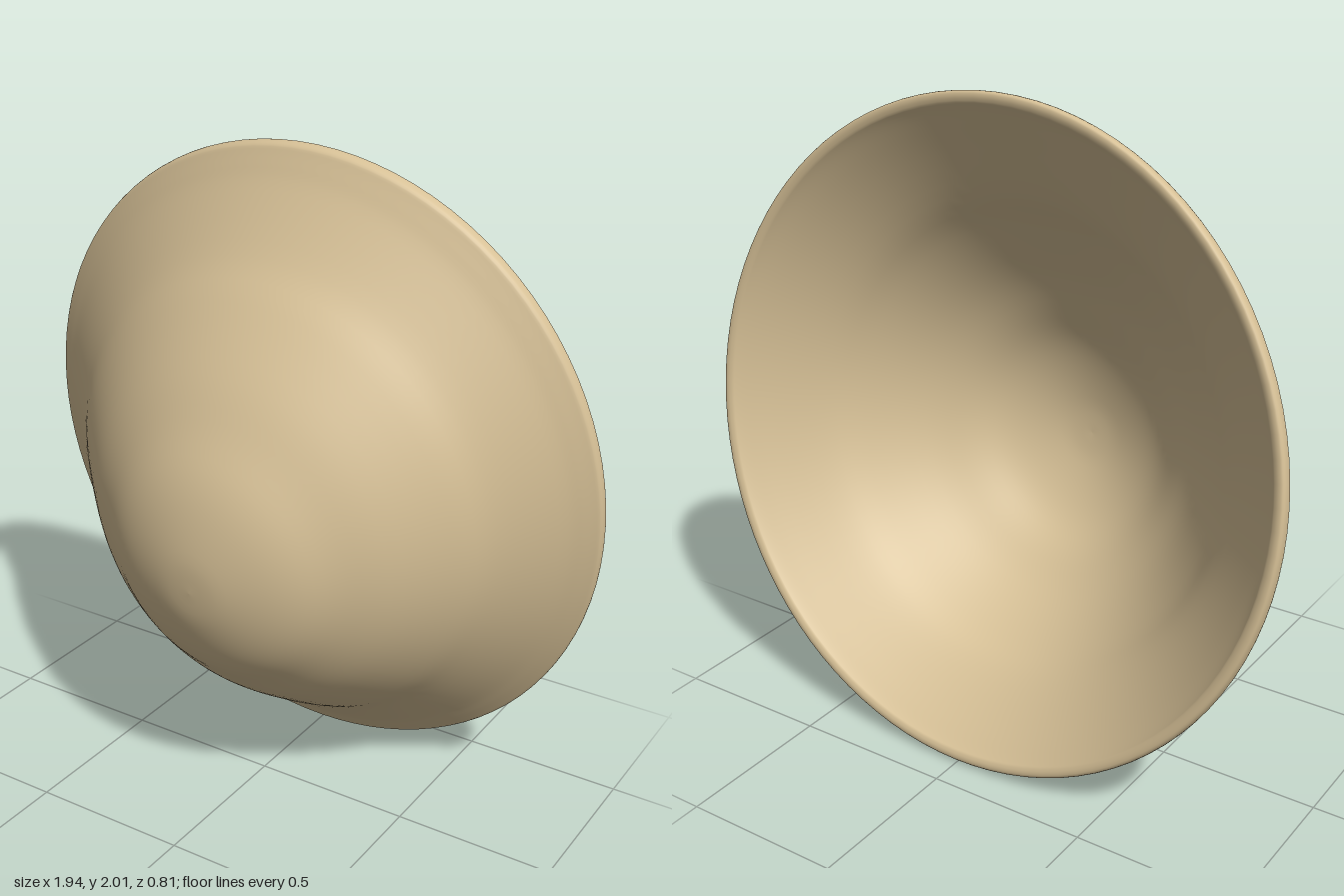
import * as THREE from 'three';

// Half-profile as [radius, height] from rim to apex
const OUTER = [[1.0, 0.022], [0.965, 0.045], [0.905, 0.088], [0.77, 0.205], [0.68, 0.305], [0.54, 0.44],
  [0.42, 0.53], [0.32, 0.6], [0.22, 0.645], [0.1, 0.677], [0, 0.684]];
const INNER = [[0.972, -0.016], [0.95, 0.005], [0.885, 0.06], [0.745, 0.18], [0.655, 0.278], [0.515, 0.413],
  [0.4, 0.5], [0.3, 0.57], [0.2, 0.615], [0.09, 0.645], [0, 0.652]];
const LIP = [[0.972, -0.016], [0.985, -0.021], [1.0, -0.02], [1.0065, -0.008], [1.0065, 0.012], [1.0, 0.022]];

function smooth(points, steps) {
  const curve = new THREE.SplineCurve(points.map(([r, h]) => new THREE.Vector2(r, h)));
  return curve.getPoints(steps).map((p) => p.setX(Math.max(0, p.x)));
}

export function createModel() {
  const group = new THREE.Group();
  group.name = 'conicalHat';
  const material = new THREE.MeshStandardMaterial({ color: 0xd6c096 });

  // Closed section: inside from apex to rim, round the lip, outside back to the apex
  const section = [
    ...smooth(INNER, 40).reverse(),
    ...smooth(LIP, 12).slice(1),
    ...smooth(OUTER, 40).slice(1),
  ];
  const shell = new THREE.LatheGeometry(section, 96);

  // Slightly oval, with the crown leaning towards the lower edge
  const lean = new THREE.Matrix4().set(
    0.963, 0, 0, 0,
    0, 1, 0, 0,
    0, 0.165, 1, 0,
    0, 0, 0, 1,
  );
  shell.applyMatrix4(lean);
  shell.rotateX(Math.PI / 2);

  const hat = new THREE.Mesh(shell, material);
  hat.name = 'hatShell';
  hat.rotation.x = 0.1145;
  hat.position.set(0, 1, -0.27);
  group.add(hat);
  return group;
}
